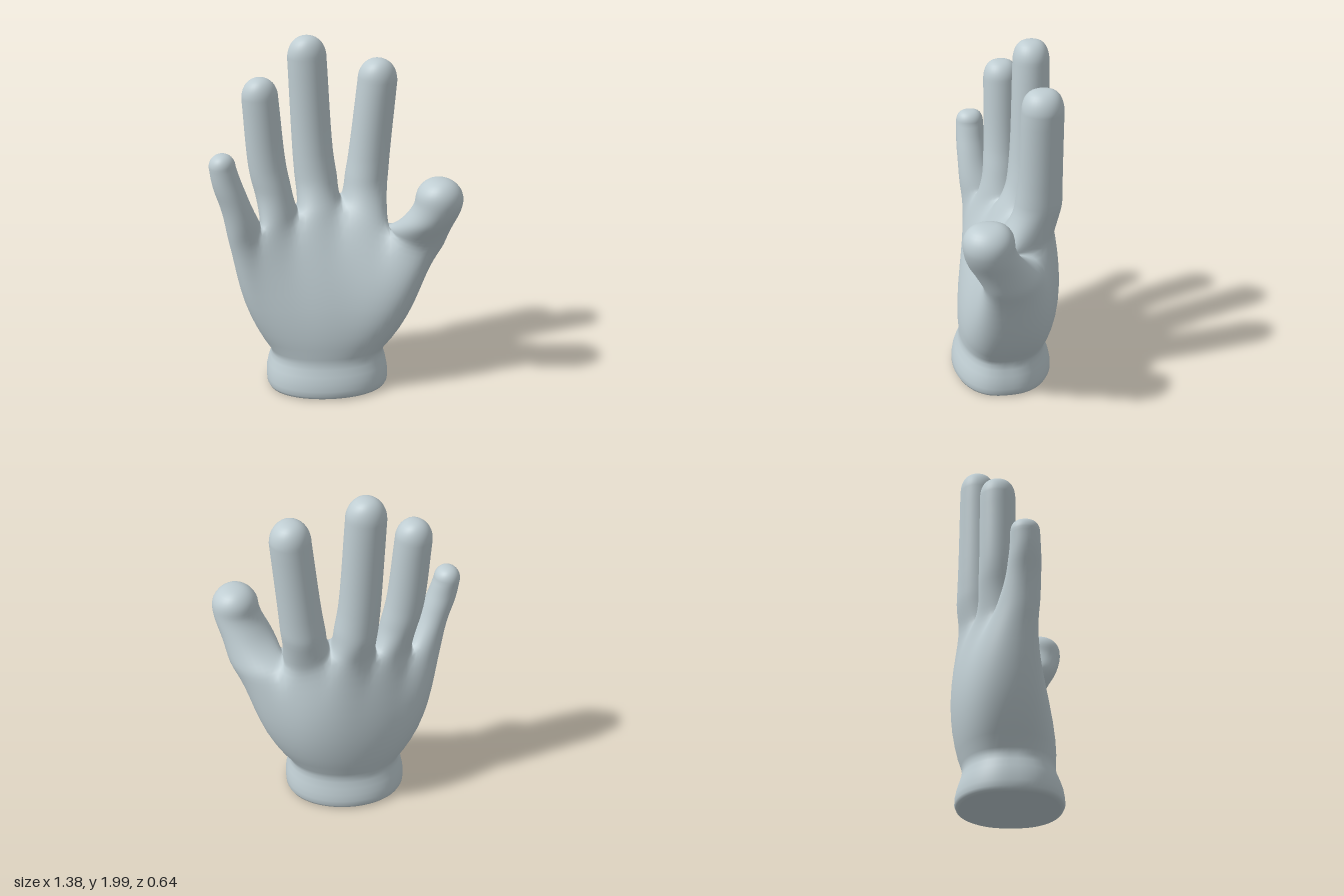
import * as THREE from 'three';
import { mergeVertices } from 'three/addons/utils/BufferGeometryUtils.js';

const V = (x, y, z) => new THREE.Vector3(x, y, z);
const { lerp: mix, degToRad: rad, smoothstep } = THREE.MathUtils;
const K = 8; // columns per quarter of a finger

// Little finger to thumb; each row is [x, y, z, half width, half depth], from root to tip
const fingers = [
  { cap: 0.07, rows: [[-0.507, 1.0, 0.06, 0.102, 0.12], [-0.545, 1.1, 0.07, 0.09, 0.1], [-0.595, 1.25, 0.08, 0.081, 0.084], [-0.618, 1.35, 0.08, 0.073, 0.079]] },
  { cap: 0.11, rows: [[-0.315, 1.03, -0.045, 0.115, 0.125], [-0.333, 1.12, -0.055, 0.108, 0.114], [-0.37, 1.3, -0.062, 0.105, 0.102], [-0.403, 1.69, -0.065, 0.1, 0.098]] },
  { cap: 0.12, rows: [[-0.085, 1.06, -0.148, 0.125, 0.162], [-0.09, 1.16, -0.162, 0.122, 0.132], [-0.11, 1.35, -0.172, 0.114, 0.114], [-0.138, 1.88, -0.18, 0.108, 0.1]] },
  { cap: 0.12, rows: [[0.18, 1.03, -0.142, 0.13, 0.155], [0.188, 1.15, -0.155, 0.125, 0.134], [0.207, 1.32, -0.162, 0.117, 0.12], [0.25, 1.75, -0.16, 0.11, 0.112]] },
  { cap: 0.13, rows: [[0.447, 0.9, 0.075, 0.168, 0.175], [0.492, 1.0, 0.128, 0.157, 0.16], [0.538, 1.09, 0.168, 0.145, 0.149], [0.556, 1.15, 0.184, 0.135, 0.14]] },
];
const webHeights = [0.95, 0.98, 1.04, 1.09, 0.94, 0.88];
const last = fingers.length - 1;

// Levels from the closed underside up: [y, centre x, half width, front z, back z, share of the finger root outline]
const cuffLevels = [
  [0.006, -0.048, 0, 0, 0, 0], [0.006, -0.048, 0.26, 0.21, -0.2, 0], [0.006, -0.048, 0.325, 0.27, -0.26, 0],
  [0.013, -0.048, 0.342, 0.288, -0.276, 0], [0.03, -0.048, 0.35, 0.297, -0.284, 0], [0.06, -0.048, 0.352, 0.296, -0.283, 0],
  [0.1, -0.048, 0.349, 0.289, -0.275, 0], [0.14, -0.048, 0.341, 0.275, -0.262, 0], [0.18, -0.047, 0.329, 0.258, -0.25, 0],
];
const palmLevels = [
  [0.21, -0.046, 0.324, 0.251, -0.246, 0], [0.24, -0.045, 0.331, 0.25, -0.252, 0], [0.3, -0.038, 0.387, 0.262, -0.28, 0],
  [0.36, -0.034, 0.432, 0.27, -0.297, 0.02], [0.43, -0.034, 0.466, 0.275, -0.315, 0.06], [0.52, -0.038, 0.489, 0.278, -0.338, 0.15],
  [0.62, -0.041, 0.496, 0.28, -0.362, 0.28], [0.72, -0.045, 0.494, 0.28, -0.382, 0.45], [0.81, -0.05, 0.485, 0.28, -0.392, 0.62],
  [0.89, -0.05, 0.48, 0.28, -0.392, 0.8], [0.95, -0.05, 0.48, 0.28, -0.392, 0.92],
];

// Point on a horizontal ellipse; the angle runs from -x through the front to +x
const onEllipse = ([x, y, z, rx, rz], deg) => V(x - rx * Math.cos(rad(deg)), y, z + rz * Math.sin(rad(deg)));

// Skin a stack of closed rings into a triangle list
function skin(rings, out) {
  for (let r = 0; r + 1 < rings.length; r++) {
    const a = rings[r], b = rings[r + 1], n = a.length;
    for (let j = 0; j < n; j++) {
      const k = (j + 1) % n;
      for (const p of [a[j], a[k], b[k], a[j], b[k], b[j]]) out.push(p.x, p.y, p.z);
    }
  }
}

function weld(triangles) {
  const soup = new THREE.BufferGeometry();
  soup.setAttribute('position', new THREE.Float32BufferAttribute(triangles, 3));
  return mergeVertices(soup, 1e-5);
}

// Ease the vertices between wrist and finger roots towards their neighbours
function relax(geometry, passes) {
  const pos = geometry.attributes.position, index = geometry.index.array;
  const near = Array.from({ length: pos.count }, () => new Set());
  for (let i = 0; i < index.length; i += 3) {
    for (let e = 0; e < 3; e++) {
      const a = index[i + e], b = index[i + (e + 1) % 3];
      if (a !== b) near[a].add(b), near[b].add(a);
    }
  }
  for (let pass = 0; pass < passes; pass++) {
    const old = near.map((_, i) => V().fromBufferAttribute(pos, i));
    old.forEach((p, i) => {
      const w = 0.5 * smoothstep(p.y, 0.24, 0.36) * (1 - smoothstep(p.y, 1.08, 1.22));
      if (!w) return;
      const mean = V(0, 0, 0);
      near[i].forEach(n => mean.add(old[n]));
      const q = mean.divideScalar(near[i].size).lerp(p, 1 - w);
      pos.setXYZ(i, q.x, q.y, q.z);
    });
  }
}

// Rings along a finger, closed by a blunt rounded tip
function fingerRings(rows, cap, steps) {
  const path = new THREE.CatmullRomCurve3(rows.map(r => V(r[0], r[1], r[2])));
  const size = new THREE.CatmullRomCurve3(rows.map(r => V(r[3], r[4], r[1])));
  const ringAt = row => Array.from({ length: 4 * K }, (_, j) => onEllipse(row, 45 + j * 90 / K));
  const rings = [];
  for (let i = 0; i <= steps; i++) {
    const c = path.getPoint(i / steps), s = size.getPoint(i / steps);
    rings.push(ringAt([c.x, c.y, c.z, s.x, s.y]));
  }
  const [x, y, z, rx, rz] = rows[rows.length - 1];
  for (let i = 1; i <= 10; i++) {
    const a = i / 10 * Math.PI / 2, s = i === 10 ? 0 : Math.cos(a);
    rings.push(ringAt([x, y + cap * Math.sin(a), z, rx * s ** 0.85, rz * s ** 0.65]));
  }
  return rings;
}

// Shared corner where neighbouring fingers meet; side is 1 in front, -1 behind
function corner(w, side) {
  const right = fingers[w] && onEllipse(fingers[w].rows[0], 45 * side);
  const left = fingers[w - 1] && onEllipse(fingers[w - 1].rows[0], 135 * side);
  const p = left && right ? left.lerp(right, 0.5) : left || right;
  p.y = webHeights[w] - 0.03;
  return p;
}

// Front or back edge of a finger root
function rootSpan(f, side, t) {
  const row = fingers[f].rows[0];
  const dl = corner(f, side).sub(onEllipse(row, 45 * side));
  const dr = corner(f + 1, side).sub(onEllipse(row, 135 * side));
  return onEllipse(row, side * (45 + 90 * t)).add(dl.lerp(dr, t));
}

// Web between two fingers, or the outer edge of the hand, from front to back
function web(w, t) {
  if (w > 0 && w <= last) {
    const p = corner(w, 1).lerp(corner(w, -1), t);
    p.y = webHeights[w] - 0.03 * (2 * t - 1) ** 2;
    return p;
  }
  const p = w ? onEllipse(fingers[last].rows[0], 135 + 90 * t) : onEllipse(fingers[0].rows[0], 45 - 90 * t);
  p.y = webHeights[w] - 0.03;
  return p;
}

const run = fn => Array.from({ length: K }, (_, k) => fn(k / K));

// Average each point of a ring with its neighbours
const soften = (ring, reach) => ring.map((_, j) => {
  const sum = V(0, 0, 0), n = ring.length;
  for (let d = -reach; d <= reach; d++) sum.add(ring[(j + d + n) % n]);
  return sum.divideScalar(2 * reach + 1);
});

// Fullness of the palm below the thumb
const thumbPad = (x, y) => 0.075 * Math.exp(-(((x - 0.34) / 0.15) ** 2) - ((y - 0.66) / 0.2) ** 2);

function buildHand(material) {
  const triangles = [];
  // Cuff and palm, rising from an oval wrist to the outline of the finger roots
  const order = fingers.map((_, f) => f);
  const top = [
    ...order.flatMap(f => run(t => rootSpan(f, 1, t))), ...run(t => web(last + 1, t)),
    ...order.reverse().flatMap(f => run(t => rootSpan(f, -1, 1 - t))), ...run(t => web(0, 1 - t)),
  ];
  const span = fingers.length * K, half = span + K;
  const columnAngle = j => {
    const i = j % half;
    return (j < half ? 0 : 180) + (i < span ? 20 + 140 * i / span : 160 + 40 * (i - span) / K);
  };
  const soft = soften(top, 3);
  const rings = [...cuffLevels, ...palmLevels].map(([y, cx, rx, front, back, s]) => soft.map((p, j) => {
    const a = rad(columnAngle(j)), d = Math.sin(a);
    const x = mix(cx - rx * Math.cos(a), p.x, s);
    const z = d > 0 ? front * d ** 0.72 + thumbPad(x, y) * Math.min(1, 3 * d) : back * (-d) ** 0.9;
    return V(x, y + s * s * (p.y - 1), mix(z, p.z, s));
  }));
  skin([...rings, top], triangles);

  // Fingers and thumb growing out of that outline
  fingers.forEach(({ rows, cap }, f) => {
    const root = [
      ...run(t => rootSpan(f, 1, t)), ...run(t => web(f + 1, t)),
      ...run(t => rootSpan(f, -1, 1 - t)), ...run(t => web(f, 1 - t)),
    ];
    const steps = 18;
    const blended = fingerRings(rows, cap, steps).map((ring, i) => {
      const w = Math.min(1, 3 * i / steps);
      return ring.map((p, j) => root[j].clone().lerp(p, w));
    });
    skin(blended, triangles);
  });
  const geometry = weld(triangles);
  relax(geometry, 10);
  geometry.computeVertexNormals();
  const mesh = new THREE.Mesh(geometry, material);
  mesh.name = 'glovedHand';
  return mesh;
}

export function createModel() {
  const group = new THREE.Group();
  group.name = 'hand';
  const glove = new THREE.MeshStandardMaterial({ color: 0xbfcdd2 });
  glove.name = 'paleBlueGrey';
  group.add(buildHand(glove));
  return group;
}
